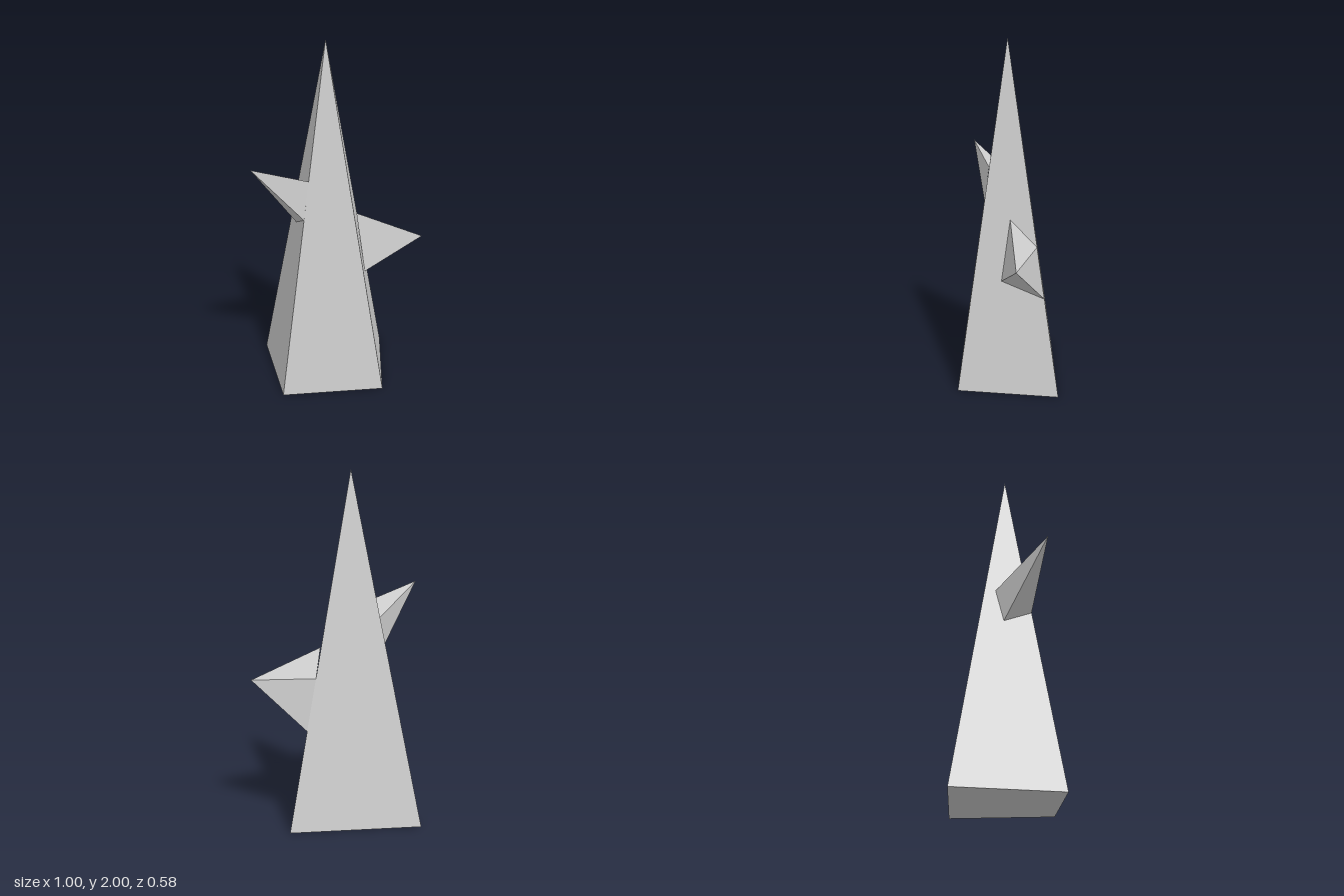
import * as THREE from 'three';

const material = new THREE.MeshStandardMaterial({ color: 0xcccccc, flatShading: true });

// Four-sided pyramid; base corners run counter-clockwise as seen from the tip.
function pyramid(name, base, tip, closed) {
  const points = [];
  base.forEach((p, i) => points.push(...p, ...base[(i + 1) % 4], ...tip));
  if (closed) for (const i of [0, 3, 2, 0, 2, 1]) points.push(...base[i]);
  const geometry = new THREE.BufferGeometry();
  geometry.setAttribute('position', new THREE.Float32BufferAttribute(points, 3));
  geometry.computeVertexNormals();
  const mesh = new THREE.Mesh(geometry, material);
  mesh.name = name;
  return mesh;
}

export function createModel() {
  const group = new THREE.Group();
  group.name = 'spikedTower';

  // Tall main spire on a trapezoid footprint
  group.add(pyramid('mainSpire',
    [[-0.365, 0, 0.29], [0.22, 0, 0.29], [0.3, 0, -0.29], [-0.445, 0, -0.29]],
    [-0.075, 2, 0], true));

  // Side spikes, their open bases lying on the spire's faces
  group.add(pyramid('leftSpike',
    [[0.1, 1.0, -0.015], [0.146, 0.65, 0.035], [0.195, 0.56, -0.208], [0.14, 0.85, -0.166]],
    [0.5, 0.825, -0.045], false));
  group.add(pyramid('rightSpike',
    [[-0.184, 1.245, 0.11], [-0.223, 1.16, -0.06], [-0.25, 0.962, -0.015], [-0.216, 1.03, 0.14]],
    [-0.5, 1.355, 0.21], false));

  return group;
}
